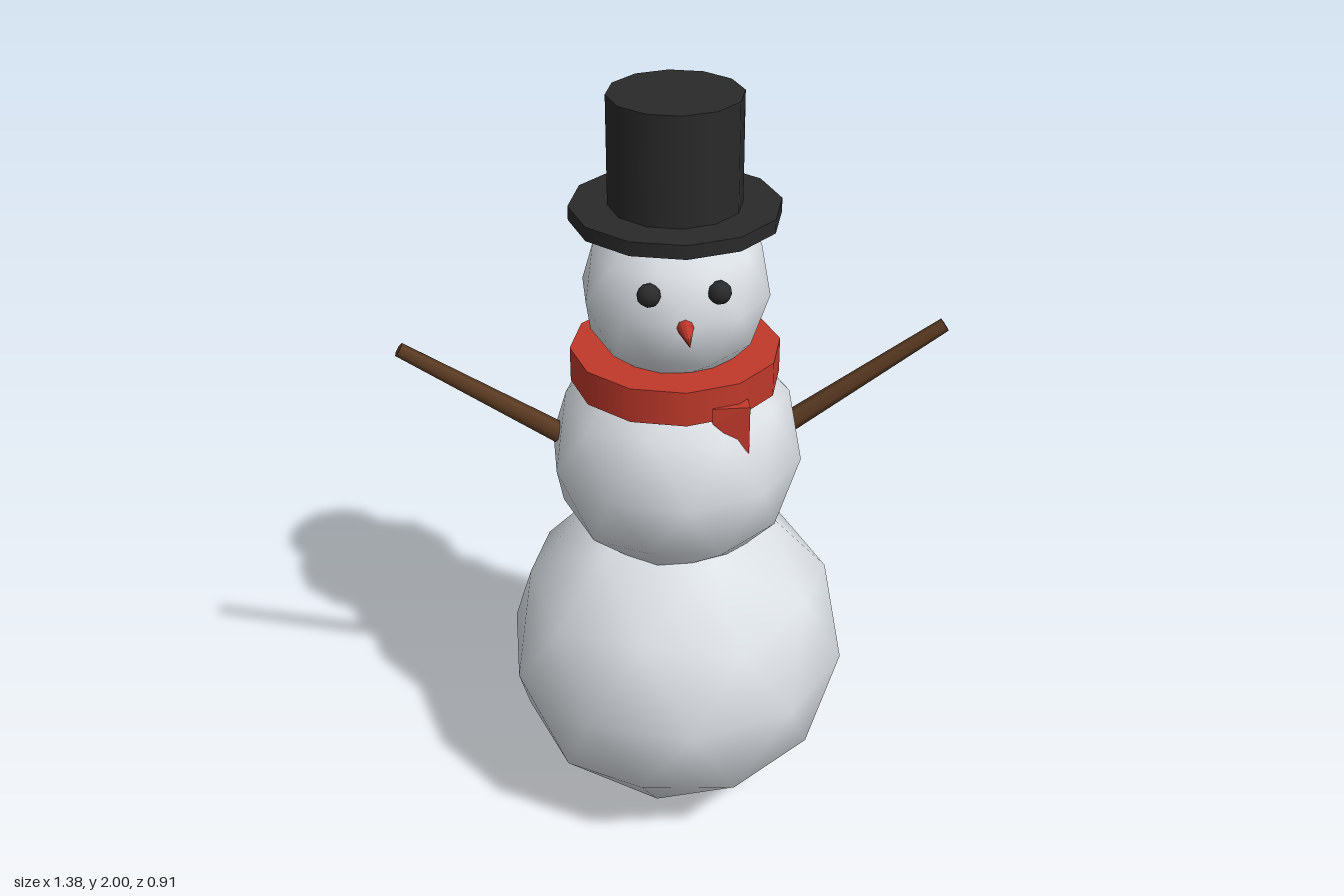
import * as THREE from 'three';
import { ConvexGeometry } from 'three/addons/geometries/ConvexGeometry.js';

const material = (name, color) => {
  const m = new THREE.MeshStandardMaterial({ color });
  m.name = name;
  return m;
};

// Smooth 80-sided ball with poles on y and an upper-ring corner on +x
function ballGeometry(radius) {
  const verts = [0, 1, 0];
  const faces = [];
  const h = 1 / Math.sqrt(5);
  for (const [y, offset] of [[h, 0], [-h, Math.PI / 5]]) {
    for (let i = 0; i < 5; i++) {
      const a = offset + (i * Math.PI * 2) / 5;
      verts.push(2 * h * Math.cos(a), y, 2 * h * Math.sin(a));
    }
  }
  verts.push(0, -1, 0);
  for (let i = 0; i < 5; i++) {
    const n = (i + 1) % 5;
    const u = 1 + i, un = 1 + n, l = 6 + i, ln = 6 + n;
    faces.push(0, un, u, u, un, l, un, ln, l, 11, l, ln);
  }
  return new THREE.PolyhedronGeometry(verts, faces, radius, 1);
}

export function createModel() {
  const model = new THREE.Group();
  model.name = 'snowman';

  const snow = material('snow', 0xdfe4e9);
  const black = material('black', 0x2a2a2a);
  const red = material('red', 0xc0392b);
  const wood = material('wood', 0x5a3a22);

  const add = (name, geometry, mat, x = 0, y = 0, z = 0) => {
    const mesh = new THREE.Mesh(geometry, mat);
    mesh.name = name;
    mesh.position.set(x, y, z);
    model.add(mesh);
    return mesh;
  };

  // Stacked snowballs
  add('lowerBody', ballGeometry(0.455), snow, 0, 0.456);
  add('upperBody', ballGeometry(0.326), snow, 0, 1.06);
  add('head', ballGeometry(0.235), snow, 0, 1.51);

  // Top hat
  add('hatBrim', new THREE.CylinderGeometry(0.257, 0.257, 0.035, 12), black, 0, 1.7125);
  add('hatCrown', new THREE.CylinderGeometry(0.163, 0.163, 0.28, 12), black, 0, 1.86);

  // Scarf band and its hanging, pointed end
  add('scarf', new THREE.CylinderGeometry(0.263, 0.263, 0.09, 12), red, 0, 1.31);
  const tail = [
    [0.064, 1.3, 0.249], [0.064, 1.3, 0.206], [0.155, 1.3, 0.249], [0.155, 1.3, 0.206],
    [0.064, 1.26, 0.249], [0.064, 1.27, 0.215], [0.155, 1.17, 0.245], [0.145, 1.19, 0.238],
  ].map((p) => new THREE.Vector3(...p));
  add('scarfTail', new ConvexGeometry(tail), red);

  // Carrot nose
  const nose = new THREE.ConeGeometry(0.026, 0.133, 8).rotateX(Math.PI / 2);
  add('nose', nose, red, 0, 1.51, 0.2665);

  // Eyes and twig arms on both sides
  for (const [side, s] of [['left', 1], ['right', -1]]) {
    add(side + 'Eye', ballGeometry(0.029), black, s * 0.083, 1.585, 0.203);

    const base = new THREE.Vector3(s * 0.295, 1.115, 0);
    const tip = new THREE.Vector3(s * 0.682, 1.372, 0);
    const along = tip.clone().sub(base);
    const arm = add(side + 'Arm', new THREE.CylinderGeometry(0.018, 0.027, along.length(), 6), wood);
    arm.position.copy(base).add(tip).multiplyScalar(0.5);
    arm.rotation.z = Math.atan2(-along.x, along.y);
  }

  return model;
}
